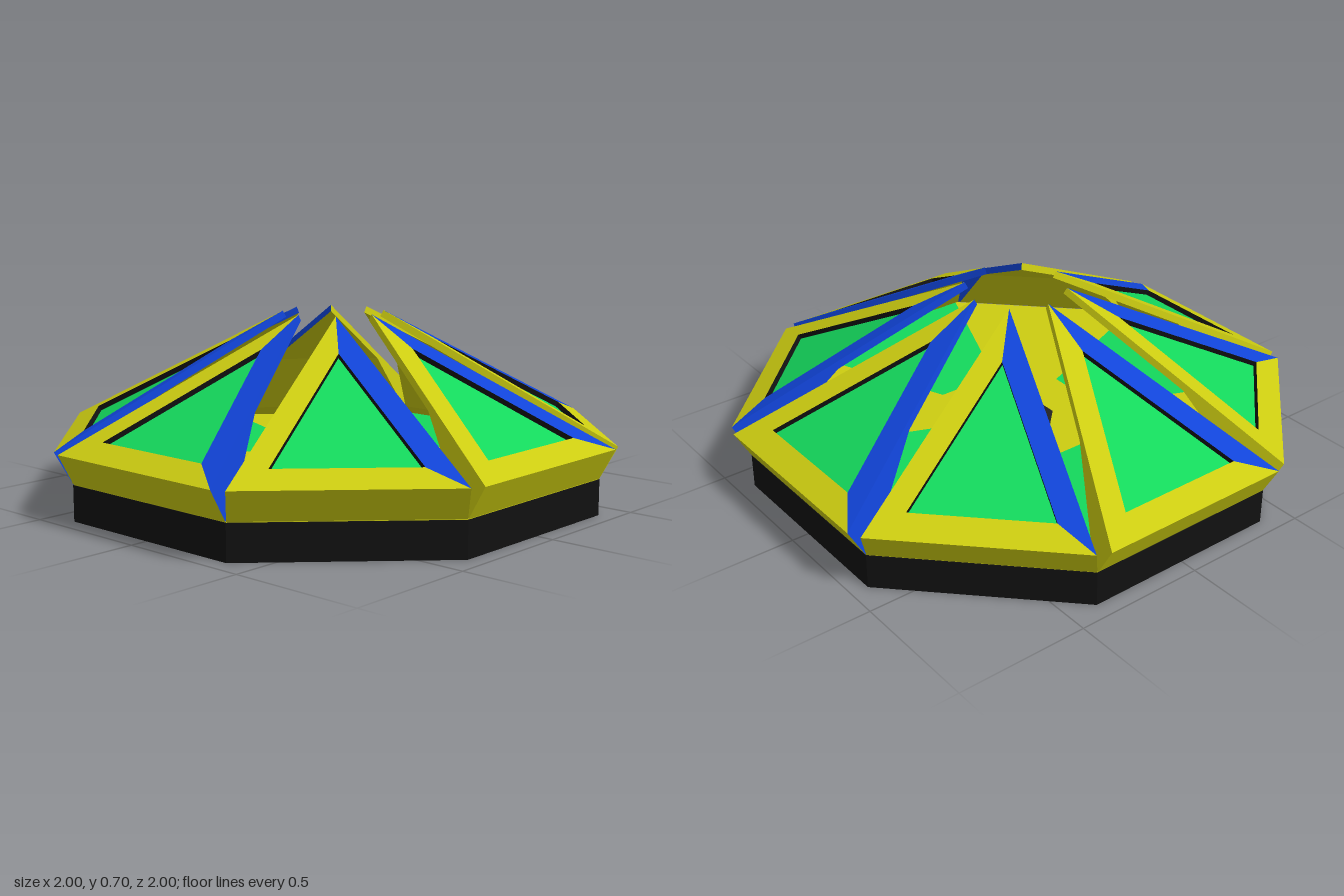
import * as THREE from 'three';

const mat = (color) => new THREE.MeshStandardMaterial({ color, flatShading: true });
const black = mat(0x111111), hubGrey = mat(0x222222);
const yellow = mat(0xcccc11), blue = mat(0x1144d8), green = mat(0x14d85c);

const SIDES = 8, APOTHEM = 0.935, HALF = 0.386, FLOOR = 0.135;
const LENGTH = 0.927, THICK = 0.132, TILT = 0.507;

// Flat mesh from convex polygons, corners counter-clockwise
function facets(name, material, polygons) {
  const pos = [];
  for (const p of polygons)
    for (let i = 1; i < p.length - 1; i++) pos.push(...p[0], ...p[i], ...p[i + 1]);
  const g = new THREE.BufferGeometry();
  g.setAttribute('position', new THREE.Float32BufferAttribute(pos, 3));
  g.computeVertexNormals();
  const mesh = new THREE.Mesh(g, material);
  mesh.name = name;
  return mesh;
}

// Octagonal disc with a flat side to the front
function octagon(name, material, apothem, y0, y1) {
  const r = apothem / Math.cos(Math.PI / SIDES);
  const g = new THREE.CylinderGeometry(r, r, y1 - y0, SIDES);
  g.rotateY(Math.PI / SIDES);
  g.translate(0, (y0 + y1) / 2, 0);
  const mesh = new THREE.Mesh(g, material);
  mesh.name = name;
  return mesh;
}

// Wedge-shaped petal lying along -z, hinged at its wide outer edge
function makePetal() {
  const petal = new THREE.Group();
  petal.name = 'petal';
  const at = (s, h, side) => [side * HALF * (1 - s), h, -s * LENGTH];

  // Underside: deep rim, then a slope up to a thin tip
  const under = [[0, 0], [0.1, 0], [0.44, THICK - 0.026], [1, THICK - 0.026]];
  const wall = (side) => [at(0, THICK, side), ...under.map(([s, h]) => at(s, h, side)), at(1, THICK, side)];
  const underside = under.slice(1).map(([s1, h1], i) => {
    const [s0, h0] = under[i];
    return [at(s0, h0, -1), at(s1, h1, -1), at(s1, h1, 1), at(s0, h0, 1)];
  });

  // Triangular frame around a recessed panel
  const outer = [at(0, THICK, -1), at(0, THICK, 1), at(1, THICK, 1)];
  const inner = (h) => [[-0.25, h, -0.103], [0.25, h, -0.103], [0, h, -0.704]];
  const top = inner(THICK), low = inner(THICK - 0.02);
  const frame = (i) => {
    const j = (i + 1) % 3;
    return [outer[i], outer[j], top[j], top[i]];
  };
  const recess = [0, 1, 2].map((i) => {
    const j = (i + 1) % 3;
    return [top[i], top[j], low[j], low[i]];
  });
  const rim = [at(0, 0, -1), at(0, 0, 1), at(0, THICK, 1), at(0, THICK, -1)];

  // Left wall is listed from its far end so the triangle fan stays inside it
  const left = wall(-1);
  const leftWall = [left[0], ...left.slice(1).reverse()];

  petal.add(
    facets('petalBody', yellow, [rim, leftWall, ...underside, frame(0), frame(2)]),
    facets('petalBlueEdge', blue, [wall(1), frame(1)]),
    facets('panelRecess', black, recess),
    facets('petalPanel', green, [low]),
  );
  petal.position.set(0, FLOOR, APOTHEM);
  petal.rotation.x = TILT;
  return petal;
}

// Flat floor inlay for one sector
function floorPanel() {
  const t = Math.tan(Math.PI / SIDES), y = FLOOR + 0.002, a = 0.305, b = 0.93;
  return facets('floorPanel', green, [[[-b * t, y, b], [b * t, y, b], [a * t, y, a], [-a * t, y, a]]]);
}

export function createModel() {
  const model = new THREE.Group();
  model.name = 'openOctagonalPod';

  model.add(
    octagon('base', black, APOTHEM, 0, FLOOR - 0.003),
    octagon('floor', yellow, APOTHEM - 0.003, FLOOR - 0.01, FLOOR),
    octagon('hub', hubGrey, 0.137, FLOOR - 0.01, FLOOR + 0.003),
  );

  // Eight petals around the base, green floor inlays under every other one
  for (let i = 0; i < SIDES; i++) {
    const sector = new THREE.Group();
    sector.name = 'sector';
    sector.add(makePetal());
    if (i % 2 === 0) sector.add(floorPanel());
    sector.rotation.y = (i * 2 * Math.PI) / SIDES;
    model.add(sector);
  }
  return model;
}
